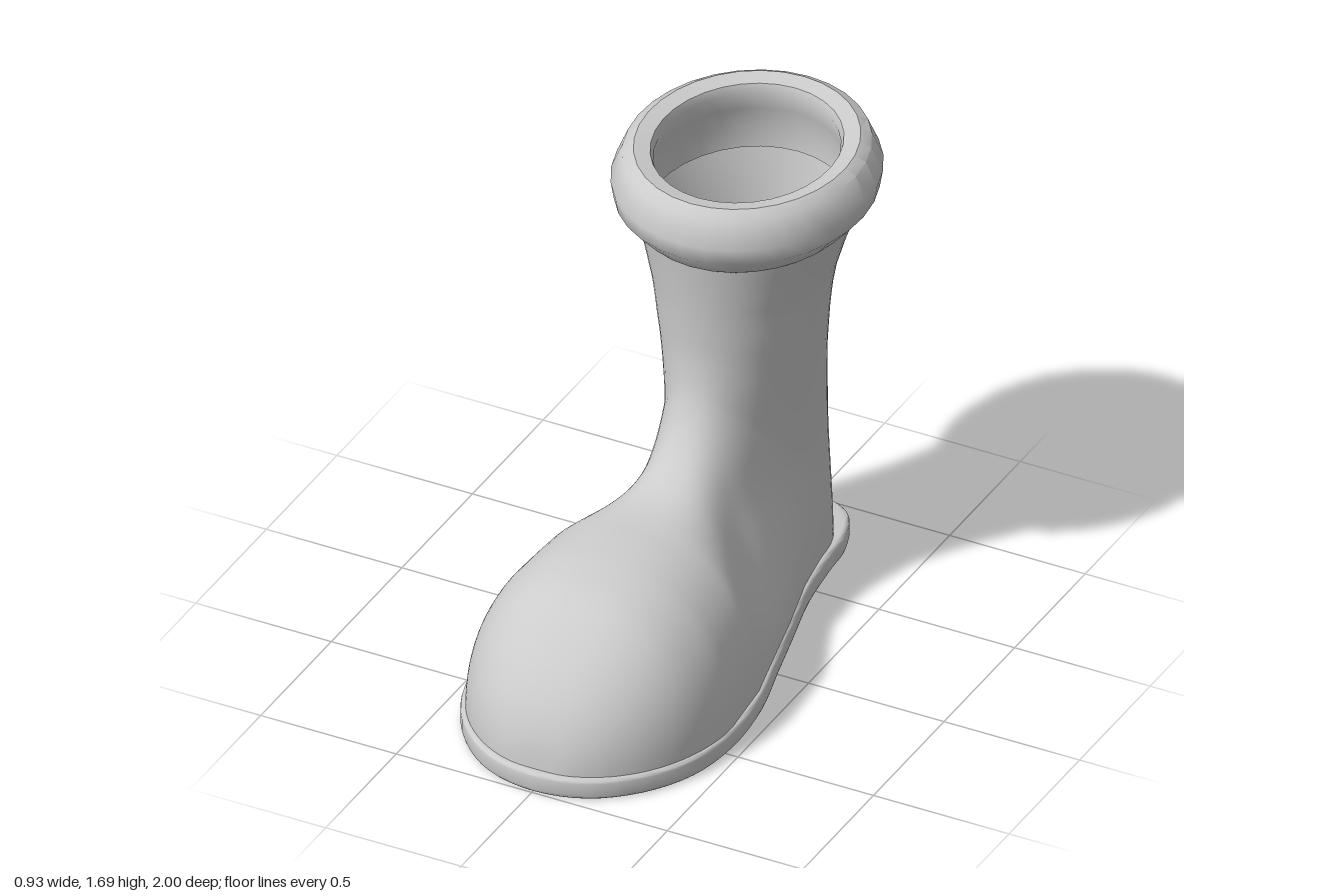
import * as THREE from 'three';
import { mergeVertices, toCreasedNormals } from 'three/addons/utils/BufferGeometryUtils.js';

const material = new THREE.MeshStandardMaterial({ color: 0xcccccc, side: THREE.DoubleSide });

const clamp01 = (v) => Math.min(1, Math.max(0, v));
const { lerp, smoothstep } = THREE.MathUtils;

// Piecewise linear lookup in [key, value] pairs with rising keys
function lookup(table, key) {
  let i = 0;
  while (i < table.length - 2 && key > table[i + 1][0]) i++;
  const [k0, v0] = table[i], [k1, v1] = table[i + 1];
  return lerp(v0, v1, clamp01((key - k0) / (k1 - k0)));
}

// Side outline as (z, y): toe, instep and shin, then the matching sole, heel and calf
const upper = [[0.975, 0.06], [0.955, 0.18], [0.9, 0.3], [0.8, 0.42], [0.65, 0.54], [0.5, 0.585],
  [0.35, 0.6], [0.2, 0.605], [0.08, 0.625], [-0.02, 0.68], [-0.1, 0.77], [-0.15, 0.88],
  [-0.17, 1], [-0.17, 1.12], [-0.16, 1.27], [-0.14, 1.45]];
const lower = [[0.975, 0.05], [0.955, 0.05], [0.9, 0.05], [0.8, 0.05], [0.65, 0.05], [0.5, 0.05],
  [0.35, 0.05], [0.2, 0.05], [0.04, 0.05], [-0.25, 0.05], [-0.6, 0.05], [-0.88, 0.05],
  [-0.872, 0.5], [-0.848, 0.85], [-0.852, 1.12], [-0.91, 1.45]];
const backEdge = lower.slice(11).map(([z, y]) => [y, z]);

// Half widths of the foot along z and of the shaft along y
const footWidth = [[-0.88, 0.23], [-0.6, 0.24], [-0.42, 0.27], [-0.2, 0.33], [0, 0.378], [0.22, 0.432], [0.45, 0.455]];
const shaftWidth = [[0, 0.22], [0.5, 0.225], [0.8, 0.245], [1, 0.264], [1.2, 0.292], [1.32, 0.325], [1.45, 0.368]];

function halfWidth(z, y) {
  const foot = z > 0.45
    ? 0.455 * Math.sqrt(clamp01(1 - ((z - 0.45) / 0.53) ** 2))
    : lookup(footWidth, z);
  const toShaft = smoothstep(y, 0.08, 0.62) * (1 - smoothstep(z, -0.12, 0.25));
  const depth = lerp(0.26, 0.37, smoothstep(y, 0, 1.3));
  const u = clamp01((z - lookup(backEdge, y)) / depth);
  return lerp(foot, lookup(shaftWidth, y), toShaft) * Math.sqrt(1 - (1 - u) ** 2);
}

// Cross-sections swing from upright at the toe to level at the shaft
function bootBody() {
  const rows = 90, sides = 56, last = upper.length - 1;
  const topCurve = new THREE.SplineCurve(upper.map(([z, y]) => new THREE.Vector2(z, y)));
  const zTable = lower.map(([z], i) => [i, z]);
  const yTable = lower.map(([, y], i) => [i, y]);
  const positions = [], index = [];
  for (let i = 0; i <= rows; i++) {
    const t = (i / rows) * last;
    const top = topCurve.getPoint(i / rows);
    const bz = lookup(zTable, t), by = lookup(yTable, t);
    const turn = smoothstep(t, 8, 13);
    const power = lerp(2.3, 2, turn);
    for (let j = 0; j < sides; j++) {
      const angle = (j / sides) * Math.PI * 2;
      const s = (1 - Math.cos(angle)) / 2;
      const z = lerp(top.x, bz, s), y = lerp(top.y, by, s);
      const round = (1 - (1 - clamp01(s * (1 + turn))) ** power) ** (1 / power);
      const side = j % (sides / 2) === 0 ? 0 : Math.sign(Math.sin(angle));
      positions.push(side * round * halfWidth(z, y), y, z);
      if (i < rows) {
        const a = i * sides + j, b = i * sides + (j + 1) % sides;
        index.push(a, b, a + sides, b, b + sides, a + sides);
      }
    }
  }
  const geometry = new THREE.BufferGeometry();
  geometry.setAttribute('position', new THREE.Float32BufferAttribute(positions, 3));
  geometry.setIndex(index);
  geometry.computeVertexNormals();
  return geometry;
}

// Flat sole with a softly rounded edge
function soleSlab() {
  const half = [[0.18, 0.96], [0.33, 0.84], [0.43, 0.67], [0.465, 0.46], [0.445, 0.22], [0.39, 0],
    [0.34, -0.2], [0.285, -0.42], [0.258, -0.62], [0.243, -0.76], [0.18, -0.885]];
  const mirrored = half.map(([x, z]) => [-x, z]).reverse();
  const points = [[0, 1], ...half, [0, -0.935], ...mirrored].map(([x, z]) => new THREE.Vector3(x, -z, 0));
  const outline = new THREE.CatmullRomCurve3(points, true).getPoints(96).slice(0, -1);
  const shape = new THREE.Shape(outline.map((p) => new THREE.Vector2(p.x, p.y)));
  const geometry = new THREE.ExtrudeGeometry(shape, {
    depth: 0.045, bevelThickness: 0.015, bevelSize: 0.015, bevelOffset: -0.015, bevelSegments: 3,
  });
  geometry.rotateX(-Math.PI / 2).translate(0, 0.02, 0);
  return toCreasedNormals(geometry, 0.7);
}

// Thick oval cuff, slightly higher at the back
function cuffRing() {
  const profile = [[0.33, 1.4], [0.365, 1.425], [0.43, 1.5], [0.44, 1.56], [0.402, 1.65], [0.365, 1.672],
    [0.31, 1.66], [0.3, 1.63], [0.315, 1.56], [0.335, 1.48], [0.33, 1.4]];
  let geometry = new THREE.LatheGeometry(profile.map(([r, y]) => new THREE.Vector2(r, y)), 32);
  const p = geometry.attributes.position;
  for (let i = 0; i < p.count; i++) {
    const r = Math.hypot(p.getX(i), p.getZ(i));
    const z = p.getZ(i) * (r + 0.035) / r;
    p.setY(i, p.getY(i) - z * 0.045);
    p.setZ(i, z - 0.525);
  }
  geometry.deleteAttribute('uv');
  geometry.deleteAttribute('normal');
  geometry = mergeVertices(geometry, 1e-4);
  return toCreasedNormals(geometry, 0.65);
}

export function createModel() {
  const boot = new THREE.Group();
  boot.name = 'boot';
  const parts = { bootBody: bootBody(), sole: soleSlab(), cuff: cuffRing() };
  for (const [name, geometry] of Object.entries(parts)) {
    const mesh = new THREE.Mesh(geometry, material);
    mesh.name = name;
    boot.add(mesh);
  }
  return boot;
}
